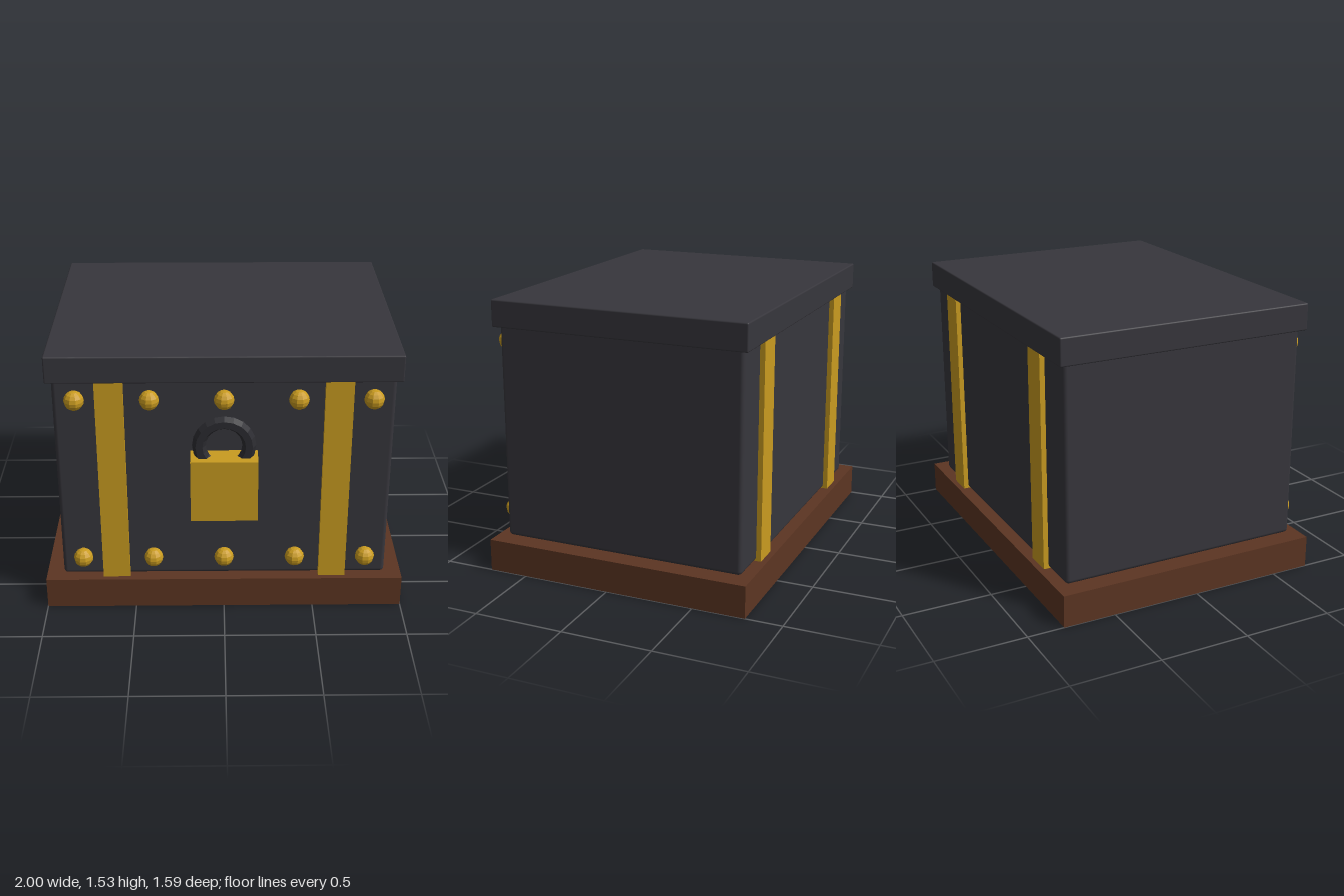
import * as THREE from 'three';
import { RoundedBoxGeometry } from 'three/addons/geometries/RoundedBoxGeometry.js';

const mat = (name, color, flatShading = false) => {
  const m = new THREE.MeshStandardMaterial({ color, flatShading });
  m.name = name;
  return m;
};

export function createModel() {
  const iron = mat('dark iron', 0x37363c);
  const steel = mat('shackle steel', 0x2c2c31, true);
  const gold = mat('gold', 0xc99b20, true);
  const wood = mat('brown wood', 0x5c3522);

  const group = new THREE.Group();
  group.name = 'strongbox';
  const add = (name, geometry, material, x, y, z) => {
    const mesh = new THREE.Mesh(geometry, material);
    mesh.name = name;
    mesh.position.set(x, y, z);
    group.add(mesh);
    return mesh;
  };
  const cz = -0.0375; // shared depth centre of the box parts

  // Plinth, body and overhanging lid
  add('base', new THREE.BoxGeometry(2, 0.18, 1.515), wood, 0, 0.09, cz);
  add('body', new RoundedBoxGeometry(1.81, 1.22, 1.395, 2, 0.022), iron, 0, 0.793, cz);
  add('lid', new RoundedBoxGeometry(1.87, 0.15, 1.455, 2, 0.008), iron, 0, 1.455, cz);

  // Straps wrapping front and back
  for (const x of [-0.605, 0.605]) {
    add('strap', new THREE.BoxGeometry(0.15, 1.22, 1.451), gold, x, 0.785, cz);
  }

  // Two rows of studs on the front
  const stud = new THREE.SphereGeometry(0.054, 10, 8);
  for (const y of [0.305, 1.28]) {
    for (let i = -2; i <= 2; i++) add('stud', stud, gold, i * 0.3935, y, 0.68);
  }

  // Padlock
  add('lockBody', new THREE.BoxGeometry(0.36, 0.36, 0.135), gold, 0, 0.79, 0.7275);
  add('lockShackle', new THREE.TorusGeometry(0.133, 0.037, 6, 20), steel, 0, 1.035, 0.722);

  return group;
}
